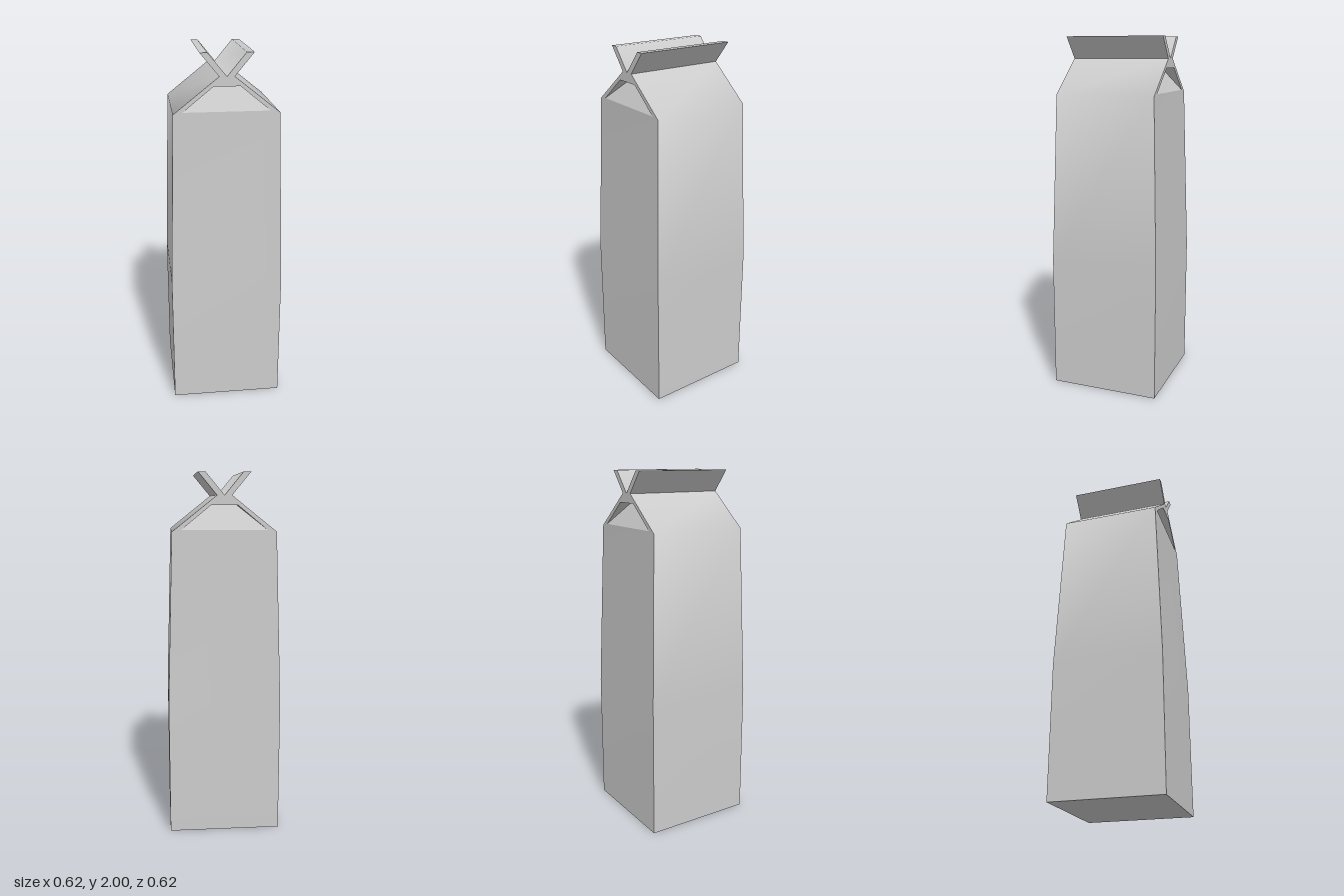
import * as THREE from 'three';
import { mergeGeometries, toCreasedNormals } from 'three/addons/utils/BufferGeometryUtils.js';

const BASE = 0.31, TOP = 0.28;           // half widths of the carton
const BEND = 0.75, EAVE = 1.69, VALLEY = 1.88;

const points = (list) => list.map(([x, y]) => new THREE.Vector2(x, y));

// Square tube: straight below the bend, tapering to the eaves
function wallsGeometry() {
  const geo = new THREE.BoxGeometry(2, EAVE, 2, 1, 2, 1).translate(0, EAVE / 2, 0);
  const p = geo.attributes.position;
  for (let i = 0; i < p.count; i++) {
    const level = Math.round((p.getY(i) / EAVE) * 2);
    const half = level === 2 ? TOP : BASE;
    p.setXYZ(i, p.getX(i) * half, [0, BEND, EAVE][level], p.getZ(i) * half);
  }
  return geo.toNonIndexed();
}

// Folded roof with two splayed flaps, open at the gable ends
function roofGeometry() {
  const shape = new THREE.Shape(points([
    [-TOP, EAVE], [TOP, EAVE], [0.04, VALLEY], [0.14, 2], [0.1, 2],
    [0, VALLEY], [-0.1, 2], [-0.14, 2], [-0.04, VALLEY],
  ]));
  shape.holes.push(new THREE.Path(points([[-0.23, 1.7], [-0.07, 1.83], [0.07, 1.83], [0.23, 1.7]])));
  return new THREE.ExtrudeGeometry(shape, { depth: 2 * TOP, bevelEnabled: false }).translate(0, 0, -TOP);
}

// Joins walls and roof, dropping the hidden faces between them
function shellGeometry() {
  const merged = mergeGeometries([wallsGeometry(), roofGeometry()]);
  const src = merged.attributes.position, kept = [];
  for (let i = 0; i < src.count; i += 3) {
    const hidden = [0, 1, 2].every((k) => Math.abs(src.getY(i + k) - EAVE) < 1e-4);
    if (hidden) continue;
    for (let k = 0; k < 3; k++) kept.push(src.getX(i + k), src.getY(i + k), src.getZ(i + k));
  }
  const joined = new THREE.BufferGeometry();
  joined.setAttribute('position', new THREE.Float32BufferAttribute(kept, 3));
  const geo = toCreasedNormals(joined, 1.0);

  // Soft fold along the valley between the flaps
  const p = geo.attributes.position, n = geo.attributes.normal;
  for (let i = 0; i < p.count; i++) {
    const inValley = Math.abs(p.getX(i)) < 1e-4 && Math.abs(p.getY(i) - VALLEY) < 1e-4;
    if (inValley && n.getY(i) > 0.3) n.setXYZ(i, 0, 1, 0);
  }
  return geo;
}

// Tucked-in end panel, leaning inward under the roof
function gableGeometry() {
  const geo = new THREE.ShapeGeometry(new THREE.Shape(points([
    [-0.23, 1.7], [0.23, 1.7], [0.07, 1.83], [-0.07, 1.83],
  ])));
  const p = geo.attributes.position;
  for (let i = 0; i < p.count; i++) p.setZ(i, p.getY(i) > 1.8 ? TOP - 0.075 : TOP);
  geo.computeVertexNormals();
  return geo;
}

export function createModel() {
  const group = new THREE.Group();
  group.name = 'carton';
  const material = new THREE.MeshStandardMaterial({ color: 0xcccccc });
  const add = (name, geometry) => {
    const mesh = new THREE.Mesh(geometry, material);
    mesh.name = name;
    group.add(mesh);
    return mesh;
  };

  add('cartonShell', shellGeometry());
  add('frontGablePanel', gableGeometry());
  add('backGablePanel', gableGeometry()).rotation.y = Math.PI;
  return group;
}
